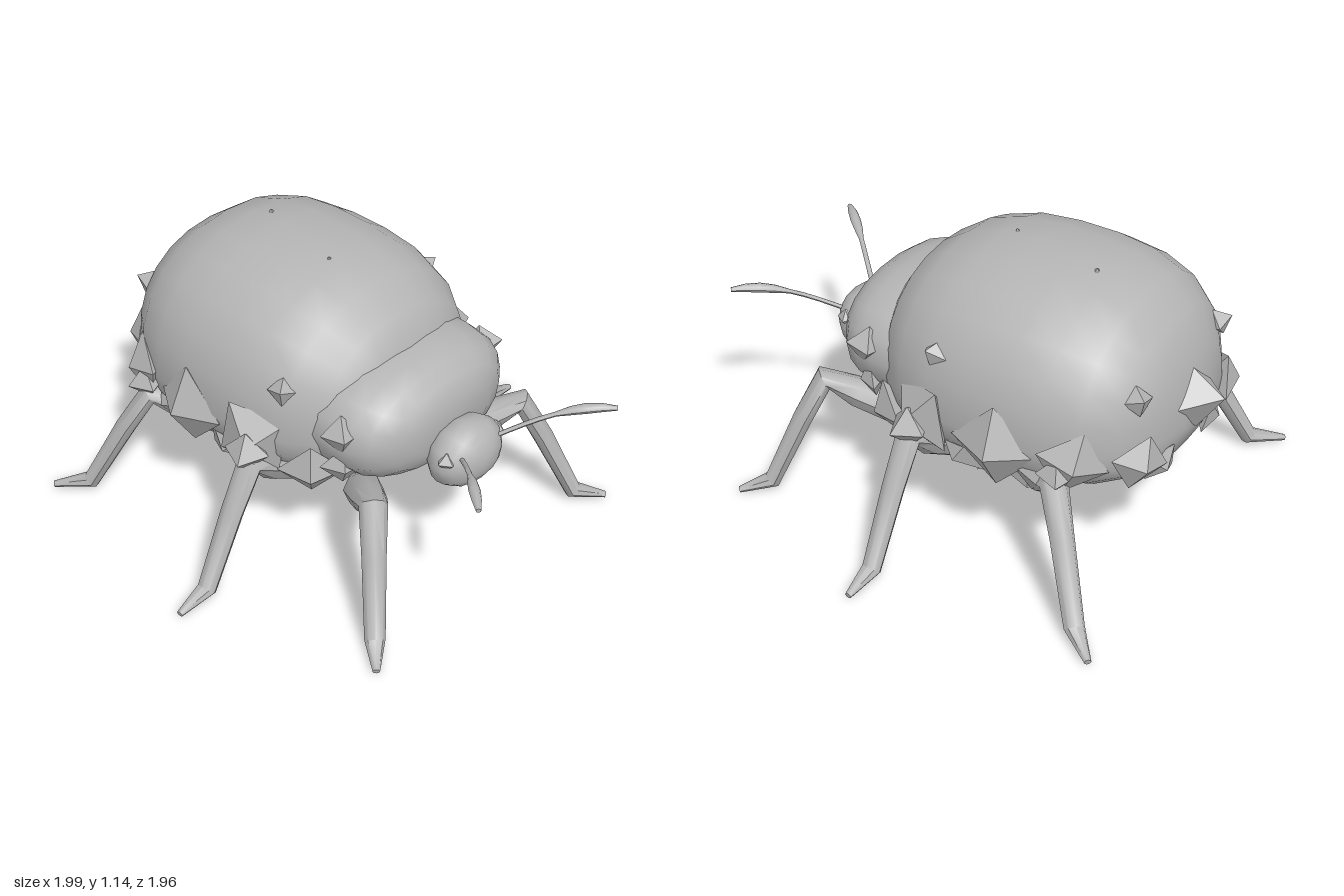
import * as THREE from 'three';
import { toCreasedNormals } from 'three/addons/utils/BufferGeometryUtils.js';

const V = (x, y, z) => new THREE.Vector3(x, y, z);
const lerp = THREE.MathUtils.lerp;
const steps = (n, f) => Array.from({ length: n }, (_, i) => f(i / n));

// Closed skin over rings of equal point count, capped at both ends
function loft(rings) {
  const n = rings[0].length, last = rings.length - 1, pts = rings.flat(), idx = [];
  for (let i = 0; i < n; i++) {
    const j = (i + 1) % n;
    for (let r = 0; r < last; r++) {
      const a = r * n + i, b = r * n + j;
      idx.push(a, b, a + n, b, b + n, a + n);
    }
    idx.push(j, i, pts.length, last * n + i, last * n + j, pts.length + 1);
  }
  const centre = (ring) => ring.reduce((sum, p) => sum.add(p), V(0, 0, 0)).divideScalar(n);
  const skin = [...pts, centre(rings[0]), centre(rings[last])];
  // turn the faces outward whichever way the rings run
  let volume = 0;
  for (let i = 0; i < idx.length; i += 3) {
    volume += skin[idx[i]].dot(V(0, 0, 0).crossVectors(skin[idx[i + 1]], skin[idx[i + 2]]));
  }
  if (volume < 0) idx.reverse();
  const g = new THREE.BufferGeometry().setFromPoints(skin);
  g.setIndex(idx);
  return toCreasedNormals(g, 0.8);
}

// Blunt egg lying along x, widest at (x, y), cut off flat at its front
function egg({ x, y, back, front, cut, up, down, wide, power, sides }) {
  const bulge = (v) => Math.sign(v) * Math.abs(v) ** 0.88;
  const end = Math.asin((cut - x) / front);
  return loft(steps(11, (t) => {
    const u = Math.sin(lerp(-1.5, end, t * 1.1));
    const size = (1 - Math.abs(u) ** power) ** (1 / power);
    return steps(sides, (k) => {
      const s = bulge(Math.sin(k * 2 * Math.PI));
      const c = bulge(Math.cos(k * 2 * Math.PI));
      return V(x + u * (u < 0 ? back : front), y + s * size * (s > 0 ? up : down), c * size * wide);
    });
  }));
}

// Limb swept through points, with a half width for each
function limb(path, widths) {
  const last = path.length - 1;
  const along = path[last].clone().sub(path[0]);
  const side = V(along.z, 0, -along.x).normalize();
  return loft(path.map((p, i) => {
    const before = path[Math.max(i - 1, 0)], after = path[Math.min(i + 1, last)];
    const up = after.clone().sub(before).cross(side).normalize();
    return steps(8, (k) => p.clone()
      .addScaledVector(side, Math.cos(k * 2 * Math.PI) * widths[i])
      .addScaledVector(up, Math.sin(k * 2 * Math.PI) * widths[i] * 0.88));
  }));
}

export function createModel() {
  const model = new THREE.Group();
  const grey = new THREE.MeshStandardMaterial({ color: 0xb4b4b4 });
  grey.name = 'stone grey';

  const add = (name, geometry) => {
    const m = new THREE.Mesh(geometry, grey);
    m.name = name;
    model.add(m);
    return m;
  };

  // Faceted stud standing out from the shell; depth is relative to its size
  const stud = (name, x, y, z, size, depth, roll) => {
    const g = new THREE.OctahedronGeometry(size).toNonIndexed();
    g.rotateZ(roll);
    g.scale(1, 1, depth);
    g.computeVertexNormals();
    const m = add(name, g);
    m.position.set(x, y, z);
    m.lookAt(x + (x + 0.28) / 0.36, y + (y - 0.62) / 0.25, z + z / 0.3);
  };

  add('shell', egg({ x: -0.28, y: 0.62, back: 0.605, front: 0.64, cut: 0.32,
    up: 0.53, down: 0.285, wide: 0.56, power: 2.7, sides: 24 }));
  add('neckShield', egg({ x: 0.25, y: 0.67, back: 0.3, front: 0.3, cut: 0.535,
    up: 0.235, down: 0.25, wide: 0.43, power: 2.7, sides: 18 }));
  add('head', egg({ x: 0.59, y: 0.56, back: 0.12, front: 0.12, cut: 0.708,
    up: 0.13, down: 0.13, wide: 0.17, power: 2, sides: 12 }));

  // Legs: x and z of hip, knee and toe; all share one profile
  const legs = {
    frontLeg: [[0.22, 0.18], [0.52, 0.43], [0.78, 0.69]],
    middleLeg: [[-0.02, 0.2], [0.02, 0.58], [0.03, 0.98]],
    backLeg: [[-0.28, 0.2], [-0.59, 0.53], [-0.91, 0.81]],
  };
  // place along the leg (1 is the knee), height, half width
  const legProfile = [[0, 0.3, 0.05], [0.25, 0.34, 0.078], [0.7, 0.44, 0.068], [1, 0.51, 0.055],
    [1.25, 0.34, 0.047], [1.63, 0.05, 0.04], [2, 0.02, 0.014]];

  // Plates and studs on each flank: x, y, z, size
  const plates = [
    [-0.34, 0.59, 0.54, 0.18], [-0.64, 0.6, 0.49, 0.14], [-0.01, 0.6, 0.52, 0.17],
    [0.2, 0.5, 0.43, 0.13], [-0.5, 0.5, 0.48, 0.12], [-0.17, 0.48, 0.49, 0.12],
    [0.32, 0.56, 0.38, 0.09], [-0.83, 0.58, 0.33, 0.12], [-0.84, 0.5, 0.19, 0.09],
    [-0.42, 0.42, 0.41, 0.12],
  ];
  const studs = [
    [0.01, 0.57, 0.58, 0.09], [-0.6, 0.56, 0.53, 0.08], [0.33, 0.72, 0.4, 0.08],
    [-0.33, 0.33, 0.24, 0.09], [-0.16, 0.34, 0.3, 0.08], [0.27, 0.33, 0.22, 0.07],
    [-0.8, 0.83, 0.31, 0.06], [0.62, 0.6, 0.14, 0.04],
  ];

  for (const s of [1, -1]) {
    const label = s > 0 ? 'left ' : 'right ';
    for (const [name, joints] of Object.entries(legs)) {
      const path = legProfile.map(([t, y]) => {
        const [a, b] = t < 1 ? joints : joints.slice(1);
        const k = t < 1 ? t : t - 1;
        return V(lerp(a[0], b[0], k), y, s * lerp(a[1], b[1], k));
      });
      add(label + name, limb(path, legProfile.map((row) => row[2])));
    }

    // Antenna: a thin rising arc with a club at the end
    const ts = steps(9, (t) => t * 9 / 8);
    add(label + 'antenna', limb(
      ts.map((t) => V(0.65 + 0.34 * t, 0.6 + 0.145 * Math.sin(1.75 * t), s * (0.09 + 0.31 * t))),
      ts.map((t) => 0.01 + 0.012 * Math.max(0, Math.sin((t - 0.5) * 2 * Math.PI)))));

    plates.forEach(([x, y, z, size], i) => stud(label + 'plate', x, y, z * s, size, 0.55, s * (i % 3) * 0.3));
    studs.forEach(([x, y, z, size]) => stud(label + 'stud', x, y, z * s, size, 1, 0));
  }

  // Tail spike and the uneven studs on the dome
  stud('tailSpike', -0.86, 0.7, 0, 0.14, 1, 0);
  stud('domeStud', 0.09, 0.83, 0.46, 0.06, 1, 0);
  stud('domeStud', -0.05, 0.86, -0.48, 0.06, 1, 0);
  stud('topStud', -0.47, 1.12, -0.05, 0.024, 1, 0);
  stud('topStud', -0.08, 1.12, 0.035, 0.024, 1, 0);

  return model;
}
